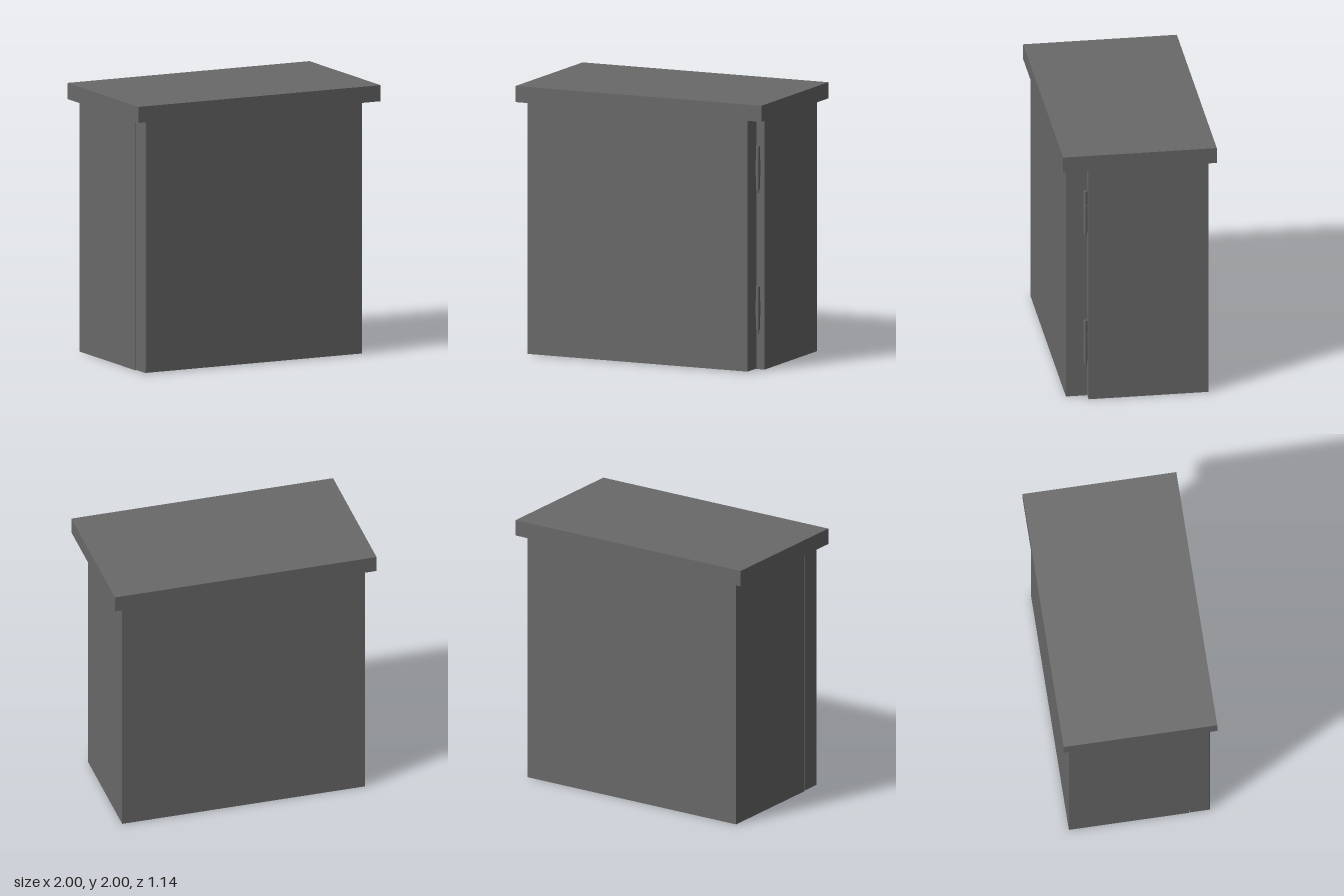
import * as THREE from 'three';

export function createModel() {
  const group = new THREE.Group();
  const material = new THREE.MeshStandardMaterial({ color: 0x696969 });

  function add(name, geometry, parent = group) {
    const mesh = new THREE.Mesh(geometry, material);
    mesh.name = name;
    parent.add(mesh);
    return mesh;
  }

  // Box given by its minimum and maximum corners
  function box(name, [x0, y0, z0], [x1, y1, z1], parent) {
    const mesh = add(name, new THREE.BoxGeometry(x1 - x0, y1 - y0, z1 - z0), parent);
    mesh.position.set((x0 + x1) / 2, (y0 + y1) / 2, (z0 + z1) / 2);
    return mesh;
  }

  // Cabinet body, with the seal between it and the door
  box('body', [-0.925, 0, -0.52], [0.93, 1.985, 0.37]);
  box('doorSeal', [-0.91, 0.006, 0.37], [0.855, 1.889, 0.376]);

  // Deep door, with a slightly eased front edge on the free side
  const outline = new THREE.Shape();
  outline.moveTo(-0.925, -0.376);
  outline.lineTo(-0.925, -0.52);
  outline.quadraticCurveTo(-0.925, -0.53, -0.915, -0.53);
  outline.lineTo(0.868, -0.53);
  outline.lineTo(0.868, -0.376);
  const doorGeometry = new THREE.ExtrudeGeometry(outline, { depth: 1.885, bevelEnabled: false, curveSegments: 4 });
  doorGeometry.rotateX(-Math.PI / 2);
  add('door', doorGeometry).position.y = 0.005;

  // Overhanging lid: a top plate with a thin skirt, open underneath
  const lid = new THREE.Group();
  lid.name = 'lid';
  group.add(lid);
  const t = 0.012;
  box('lidTop', [-1, 1.985, -0.57], [1, 2, 0.57], lid);
  for (const s of [-1, 1]) {
    const skirtZ = box('lidSkirt', [-1, 1.88, -t / 2], [1, 1.985, t / 2], lid);
    skirtZ.position.z = s * (0.57 - t / 2);
    const skirtX = box('lidSideSkirt', [-t / 2, 1.88, -0.57 + t], [t / 2, 1.985, 0.57 - t], lid);
    skirtX.position.x = s * (1 - t / 2);
  }

  // Two barrel hinges, each with three knuckles on a pin and two leaves
  for (const y of [0.445, 1.49]) {
    const hinge = new THREE.Group();
    hinge.name = 'hinge';
    hinge.position.set(0.884, y, 0.387);
    group.add(hinge);
    add('hingePin', new THREE.CylinderGeometry(0.01, 0.01, 0.35, 16), hinge);
    const knuckles = [[-0.098, 0.104, 0.014], [0.01, 0.112, 0.016], [0.12, 0.108, 0.014]];
    for (const [ky, height, r] of knuckles) {
      add('hingeKnuckle', new THREE.CylinderGeometry(r, r, height, 16), hinge).position.y = ky;
    }
    box('doorLeaf', [-0.02, -0.15, -0.008], [0, 0.17, 0.002], hinge);
    box('bodyLeaf', [0, -0.046, -0.017], [0.014, 0.066, 0.002], hinge);
  }

  return group;
}
